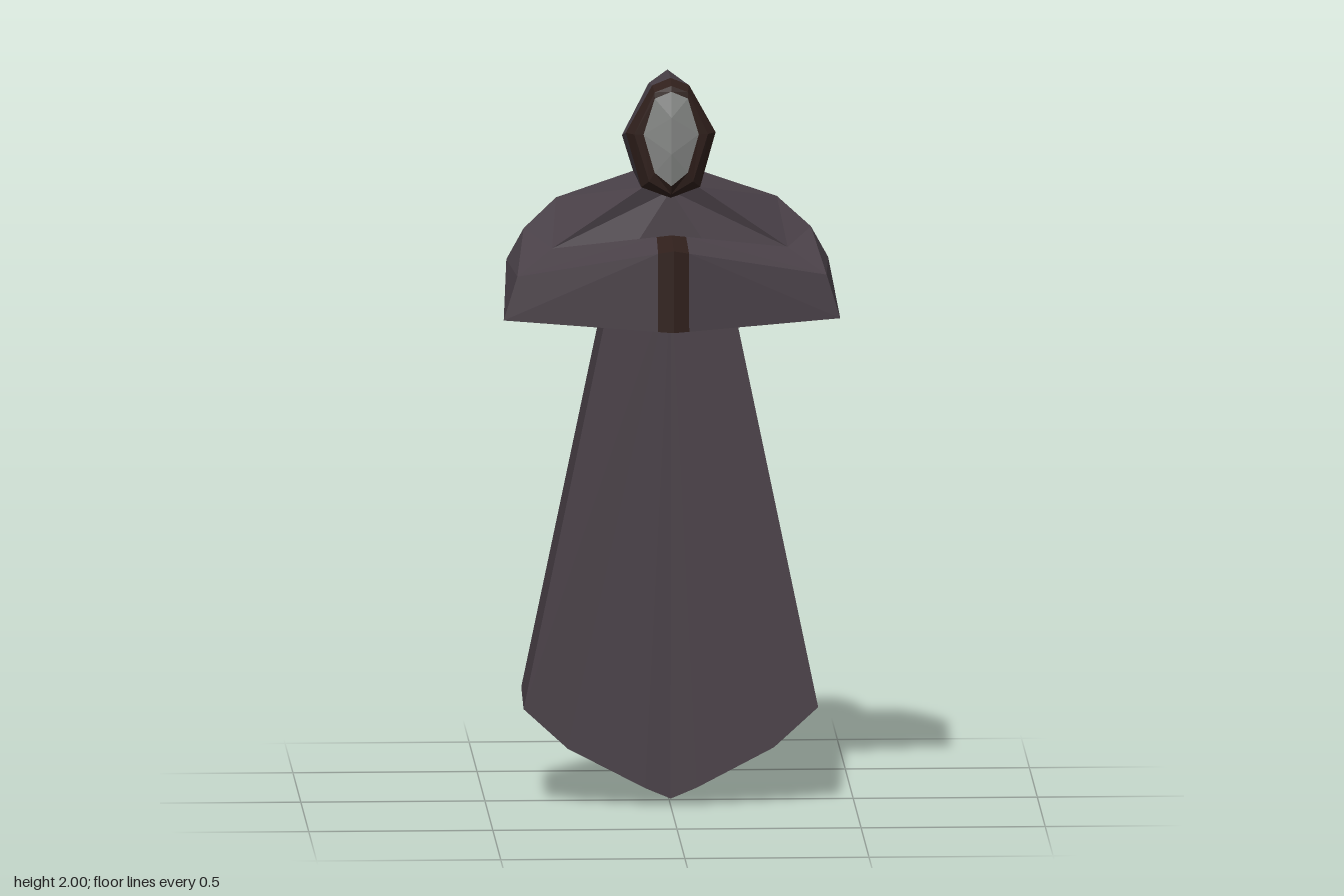
import * as THREE from 'three';

const makeMat = (name, color) => {
  const m = new THREE.MeshStandardMaterial({ color, flatShading: true, side: THREE.DoubleSide });
  m.name = name;
  return m;
};

// Builds a mesh from polygons of the +x half, mirrored to -x
function mirrored(name, material, polys) {
  const pos = [];
  for (const p of polys) {
    for (let i = 1; i < p.length - 1; i++) {
      const tri = [p[0], p[i], p[i + 1]];
      for (const v of tri) pos.push(...v);
      for (const v of tri.reverse()) pos.push(-v[0], v[1], v[2]);
    }
  }
  const g = new THREE.BufferGeometry();
  g.setAttribute('position', new THREE.Float32BufferAttribute(pos, 3));
  g.computeVertexNormals();
  const mesh = new THREE.Mesh(g, material);
  mesh.name = name;
  return mesh;
}

// Quads between two half-outlines, front outline first, points top to bottom
const strip = (a, b) => a.slice(1).map((_, i) => [a[i], a[i + 1], b[i + 1], b[i]]);
const lerp = (a, b, t) => a.map((v, i) => v + (b[i] - v) * t);

export function createModel() {
  const cloth = makeMat('robe cloth', 0x4a4148);
  const lining = makeMat('dark lining', 0x30201c);
  const mask = makeMat('grey face', 0x868886);
  const group = new THREE.Group();
  group.name = 'hoodedFigure';

  // Robe: flat front, sides and slightly ridged back with a pointed hem
  const hemFront = [[0.4, 0.27, 0.115], [0.28, 0.16, 0.112], [0.07, 0.05, 0.11], [0, 0.02, 0.105]];
  const hemBack = [[0.39, 0.27, -0.265], [0.28, 0.16, -0.275], [0.07, 0.045, -0.292], [0, 0, -0.297]];
  const frontTop = [0.155, 1.45, 0.11], backTop = [0.145, 1.47, -0.195], spine = [0, 1.5, -0.205];
  group.add(mirrored('robe', cloth, [
    [[0, 1.45, 0.11], ...[...hemFront].reverse(), frontTop],
    [frontTop, hemFront[0], hemBack[0], backTop],
    [spine, backTop, ...hemBack],
  ]));
  group.add(mirrored('robeUnderside', lining, strip(hemFront, hemBack)));

  // Shoulders and chest
  const neckFront = [0, 1.69, 0.1], neckSide = [0.075, 1.7, 0.1];
  const neckRear = [0.09, 1.7, -0.18], nape = [0, 1.7, -0.22];
  const crease = [0.32, 1.525, 0.05], peak = [0.3, 1.63, -0.17];
  const outerTop = [0.39, 1.555, -0.115], outerLow = [0.437, 1.47, -0.115];
  const rearLow = [0.36, 1.5, -0.175];
  group.add(mirrored('shoulders', cloth, [
    [neckFront, [0, 1.45, 0.11], frontTop, crease, neckSide],
    [neckSide, crease, peak, neckRear],
    [nape, neckRear, backTop, spine],
    [neckRear, peak, rearLow, backTop],
    [peak, outerTop, outerLow, rearLow],
  ]));

  // Folded sleeves meeting in front of the chest
  const elbowTop = [0.42, 1.47, 0.185], elbowLow = [0.457, 1.35, 0.185];
  const cuffTop = [0, 1.555, 0.297], cuffLow = [0, 1.33, 0.297];
  const cuffInner = [0, 1.577, 0.162], cuffInnerLow = [0, 1.37, 0.18];
  const armpit = [0.17, 1.4, 0.11];
  const bandTop = lerp(cuffTop, elbowTop, 0.1), bandLow = lerp(cuffLow, elbowLow, 0.093);
  const bandInner = lerp(cuffInner, crease, 0.125);
  group.add(mirrored('sleeves', cloth, [
    [bandTop, bandLow, elbowLow, elbowTop],
    [bandInner, bandTop, elbowTop, crease],
    [crease, elbowTop, outerTop, peak],
    [elbowTop, elbowLow, outerLow, outerTop],
    [cuffInner, crease, armpit, cuffInnerLow],
    [cuffInnerLow, armpit, elbowLow, bandLow, cuffLow],
    [armpit, backTop, rearLow, outerLow, elbowLow],
  ]));
  group.add(mirrored('sleeveOpeningBand', lining, [
    [cuffTop, cuffLow, bandLow, bandTop],
    [cuffInner, cuffTop, bandTop, bandInner],
  ]));

  // Hood
  const hoodFront = [[0, 2, 0.1], [0.05, 1.98, 0.1], [0.122, 1.85, 0.1], [0.08, 1.7, 0.1], [0, 1.67, 0.1]];
  const hoodBack = [[0, 1.99, -0.105], [0.05, 1.95, -0.125], [0.122, 1.805, -0.14], neckRear];
  group.add(mirrored('hood', cloth, [
    ...strip(hoodFront.slice(0, 4), hoodBack),
    [[0, 1.9, -0.185], hoodBack[0], hoodBack[1], hoodBack[2]],
    [[0, 1.9, -0.185], hoodBack[2], neckRear, nape],
  ]));

  // Dark hood rim and the faceted face inside it
  const rim = [[0, 1.985, 0.145], [0.045, 1.967, 0.14], [0.1, 1.85, 0.13], [0.06, 1.72, 0.13], [0, 1.685, 0.135]];
  const edge = [[0, 1.97, 0.15], [0.045, 1.95, 0.143], [0.075, 1.85, 0.135], [0.045, 1.745, 0.138], [0, 1.71, 0.15]];
  group.add(mirrored('hoodRim', lining, [...strip(rim, hoodFront), ...strip(edge, rim)]));
  const brow = [0, 1.9, 0.165], chin = [0, 1.8, 0.165];
  group.add(mirrored('face', mask, [
    [brow, edge[2], edge[1], edge[0]],
    [brow, chin, edge[2]],
    [chin, edge[4], edge[3], edge[2]],
  ]));
  return group;
}
